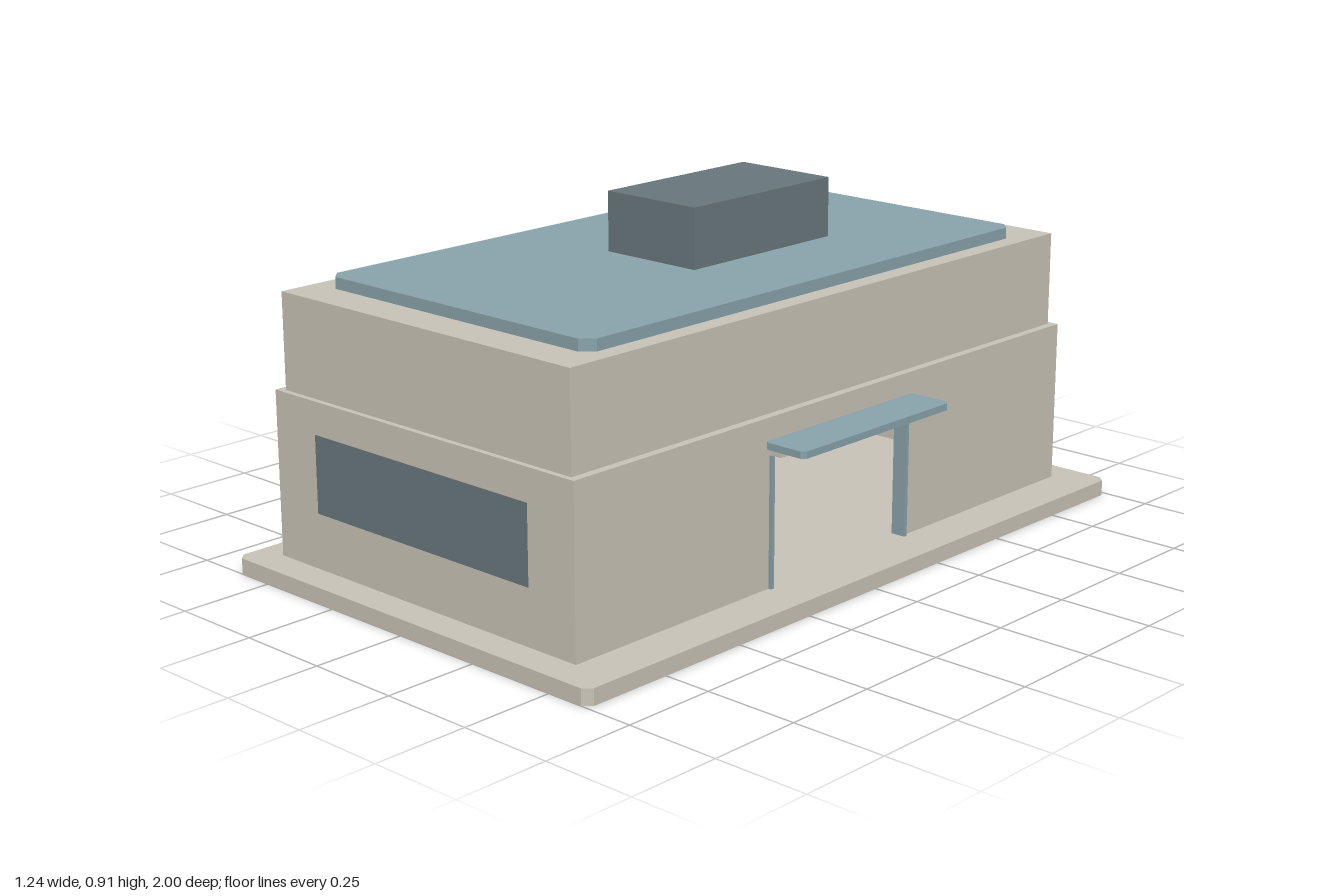
import * as THREE from 'three';

const material = (name, color) => {
  const m = new THREE.MeshStandardMaterial({ color });
  m.name = name;
  return m;
};

export function createModel() {
  const model = new THREE.Group();
  model.name = 'building';
  const stone = material('beige stone', 0xcac4b8);
  const blue = material('blue grey trim', 0x8aa4ac);
  const dark = material('dark slate', 0x69787d);

  const add = (name, geometry, mat) => {
    const mesh = new THREE.Mesh(geometry, mat);
    mesh.name = name;
    model.add(mesh);
    return mesh;
  };
  // Box given by its lower and upper limits on each axis
  const box = (name, mat, [x0, x1], [y0, y1], [z0, z1]) =>
    add(name, new THREE.BoxGeometry(x1 - x0, y1 - y0, z1 - z0), mat)
      .position.set((x0 + x1) / 2, (y0 + y1) / 2, (z0 + z1) / 2);
  // Flat slab with cut corners
  const slab = (name, mat, [x0, x1], [y0, y1], z, c) => {
    const outline = [
      [x0 + c, -z], [x1 - c, -z], [x1, -z + c], [x1, z - c],
      [x1 - c, z], [x0 + c, z], [x0, z - c], [x0, -z + c],
    ].map(([x, y]) => new THREE.Vector2(x, y));
    const g = new THREE.ExtrudeGeometry(new THREE.Shape(outline), { depth: y1 - y0, bevelEnabled: false });
    g.rotateX(-Math.PI / 2).translate(0, y0, 0);
    add(name, g, mat);
  };

  const L = -0.545, R = 0.5, Z = 0.915, T = 0.03; // lower storey limits, wall thickness
  const floor = 0.042, ledge = 0.475, doorTop = 0.385, doorHalf = 0.262;

  slab('base', stone, [-0.622, 0.622], [0, floor], 1, 0.02);

  // Hollow lower storey
  box('rightWall', stone, [L, L + T], [floor, ledge], [-Z, Z]);
  for (const [name, s] of [['frontWall', 1], ['backWall', -1]]) {
    const z = [s * Z, s * (Z - T)].sort((a, b) => a - b);
    box(name, stone, [L + T, R], [floor, ledge], z);
  }
  // Wall with the doorway cut out, drawn in z and y
  const zi = Z - T;
  const wall = new THREE.Shape([
    [-zi, floor], [-doorHalf, floor], [-doorHalf, doorTop], [doorHalf, doorTop],
    [doorHalf, floor], [zi, floor], [zi, ledge], [-zi, ledge],
  ].map(([a, b]) => new THREE.Vector2(a, b)));
  const wallGeometry = new THREE.ExtrudeGeometry(wall, { depth: T, bevelEnabled: false });
  wallGeometry.rotateY(Math.PI / 2).translate(R - T, 0, 0);
  add('doorWall', wallGeometry, stone);

  // Upper storey and roof
  box('upperStorey', stone, [-0.523, 0.478], [ledge, 0.725], [-0.9, 0.9]);
  slab('roofPanel', blue, [-0.475, 0.427], [0.725, 0.755], 0.795, 0.03);
  box('roofUnit', dark, [-0.15, 0.147], [0.755, 0.912], [-0.365, 0.147]);

  // Door frame and canopy
  for (const s of [-1, 1]) {
    const z = [s * 0.253, s * 0.263].sort((a, b) => a - b);
    box('doorPost', blue, [R - T - 0.002, 0.509], [floor, 0.38], z);
  }
  box('lintel', stone, [R - T - 0.002, 0.533], [0.38, 0.4], [-0.26, 0.26]);
  slab('canopy', blue, [R - 0.002, 0.622], [0.4, 0.418], 0.28, 0.011);

  // Windows as thin plates
  const sill = [0.188, 0.39], span = [-0.395, 0.35];
  box('frontWindow', dark, span, sill, [Z - 0.002, Z + 0.002]);
  box('backWindow', dark, span, sill, [-Z - 0.002, -Z + 0.002]);
  box('sideWindow', dark, [L - 0.002, L + 0.002], sill, [-0.65, 0.65]);

  return model;
}
